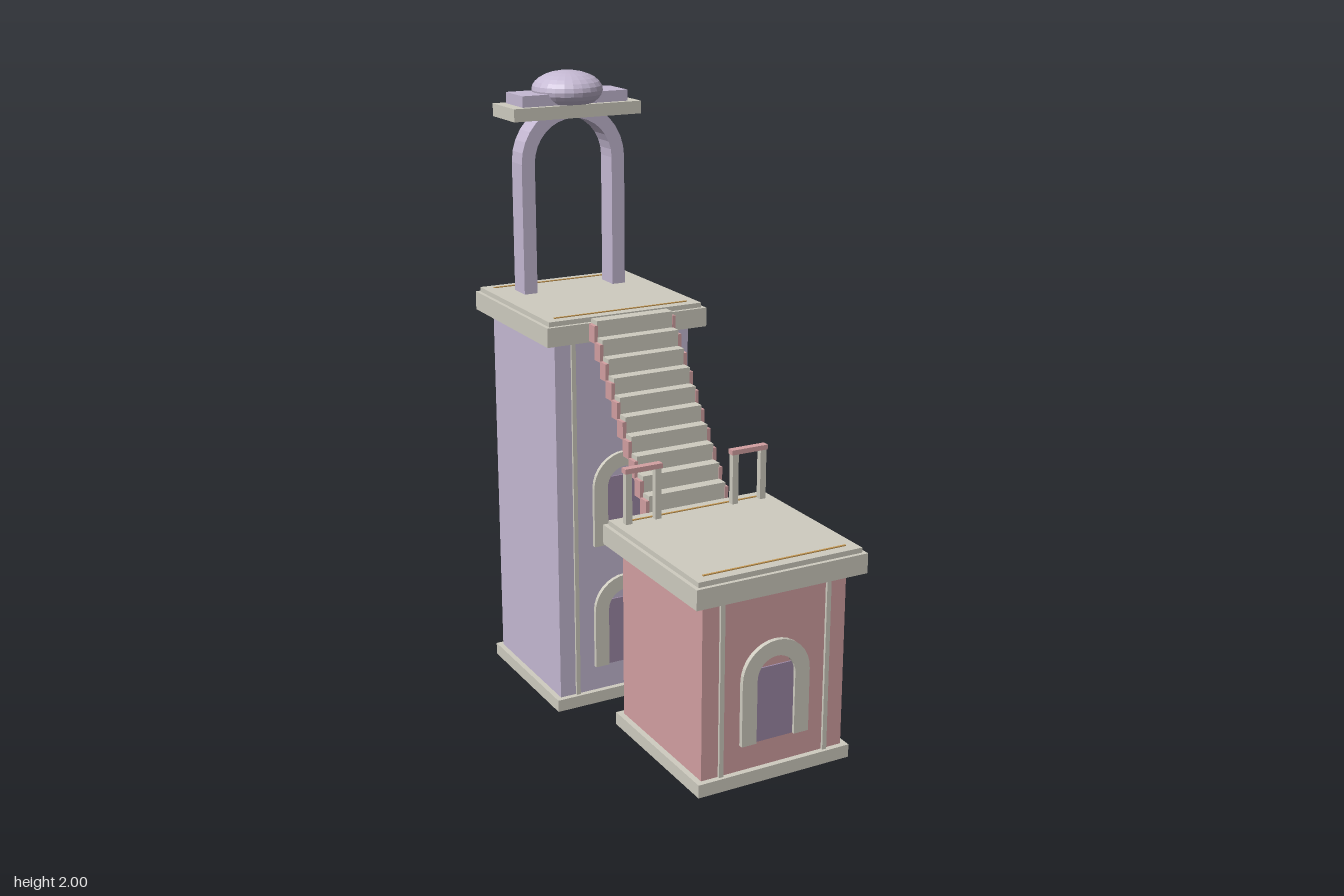
import * as THREE from 'three';

const mat = (name, color, flat = false) => {
  const m = new THREE.MeshStandardMaterial({ color, flatShading: flat });
  m.name = name;
  return m;
};

export function createModel() {
  const stone = mat('stone', 0xcfccc0);
  const pink = mat('pink plaster', 0xd3a0a2);
  const lilac = mat('lilac plaster', 0xc5b9d3);
  const lilacDome = mat('lilac plaster', 0xc5b9d3, true);
  const mauve = mat('mauve panel', 0x9d89a6);
  const blue = mat('blue window', 0x938bb2);
  const gold = mat('gold', 0xc79a55);

  const root = new THREE.Group();
  root.name = 'stairTower';
  const group = (name, parent = root) => {
    const g = new THREE.Group();
    g.name = name;
    parent.add(g);
    return g;
  };
  const add = (parent, name, geo, material) => {
    const m = new THREE.Mesh(geo, material);
    m.name = name;
    parent.add(m);
    return m;
  };
  // Box given by its limits on each axis
  const box = (parent, name, material, x0, x1, y0, y1, z0, z1) => {
    const m = add(parent, name, new THREE.BoxGeometry(x1 - x0, y1 - y0, z1 - z0), material);
    m.position.set((x0 + x1) / 2, (y0 + y1) / 2, (z0 + z1) / 2);
    return m;
  };
  // Upside-down U: straight legs and a half ring
  const arch = (parent, name, material, outer, inner, legs, y0, z0, depth, segs) => {
    const s = new THREE.Shape();
    s.moveTo(outer, 0);
    s.lineTo(outer, legs);
    s.absarc(0, legs, outer, 0, Math.PI, false);
    s.lineTo(-outer, 0);
    s.lineTo(-inner, 0);
    s.lineTo(-inner, legs);
    s.absarc(0, legs, inner, Math.PI, 0, true);
    s.lineTo(inner, 0);
    const geo = new THREE.ExtrudeGeometry(s, { depth, bevelEnabled: false, curveSegments: segs });
    const m = add(parent, name, geo, material);
    m.position.set(0, y0, z0);
    return m;
  };

  // A square block with plinth, cornice, corner strips, doors and side windows
  const building = (name, wall, zc, y0, wallTop, openings, windowMat) => {
    const g = group(name);
    const front = zc + 0.2325;
    box(g, 'plinth', stone, -0.25, 0.25, y0, y0 + 0.04, zc - 0.25, zc + 0.25);
    box(g, 'walls', wall, -0.2325, 0.2325, y0 + 0.04, wallTop, zc - 0.2325, front);
    box(g, 'cornice', stone, -0.275, 0.275, wallTop, wallTop + 0.06, zc - 0.275, zc + 0.275);
    box(g, 'roofSlab', stone, -0.263, 0.263, wallTop + 0.06, wallTop + 0.075, zc - 0.263, zc + 0.263);
    for (const s of [-1, 1]) {
      box(g, 'frontStrip', stone, s * 0.172 - 0.007, s * 0.172 + 0.007, y0 + 0.04, wallTop - 0.01, front, front + 0.008);
      box(g, 'roofLine', gold, -0.23, 0.23, wallTop + 0.075, wallTop + 0.078, zc + s * 0.228 - 0.003, zc + s * 0.228 + 0.003);
    }
    for (const y of openings) {
      box(g, 'doorPanel', mauve, -0.066, 0.066, y, y + 0.225, front, front + 0.005);
      arch(g, 'doorSurround', stone, 0.11, 0.062, 0.195, y, front, 0.014, 8);
      box(g, 'sideWindow', windowMat, 0.2325, 0.2375, y, y + 0.225, zc - 0.1, zc + 0.035);
    }
    return g;
  };
  building('frontHouse', pink, 0.455, 0.145, 0.725, [0.265], blue);
  const tower = building('rearTower', lilac, -0.455, 0, 1.23, [0.125, 0.545], mauve);

  // Staircase between the two roofs
  const stairs = group('staircase');
  const steps = 10, run = 0.0365, rise = 0.0505;
  for (let i = 0; i < steps; i++) {
    const z = 0.192 - i * run;
    const top = 0.8 + (i + 1) * rise;
    box(stairs, 'step', stone, -0.13, 0.13, top - rise, top, z - run - 0.004, z);
    for (const s of [-1, 1]) {
      box(stairs, 'stairCheek', pink, s * 0.134 - 0.006, s * 0.134 + 0.006, top - rise - 0.018, top - 0.014, z - run, z + 0.001);
    }
  }

  // Short railings at the foot of the stairs
  for (const s of [-1, 1]) {
    const rail = group(s > 0 ? 'leftRailing' : 'rightRailing');
    for (const x of [0.13, 0.226]) {
      box(rail, 'railPost', stone, s * x - 0.01, s * x + 0.01, 0.8, 0.958, 0.232, 0.251);
    }
    box(rail, 'railCap', pink, s * 0.178 - 0.061, s * 0.178 + 0.061, 0.955, 0.97, 0.23, 0.253);
  }

  // Open arch with crown and dome
  arch(tower, 'roofArch', lilac, 0.18, 0.135, 0.415, 1.305, -0.628, 0.076, 8);
  box(tower, 'crownPlate', stone, -0.22, 0.22, 1.86, 1.9, -0.675, -0.51);
  box(tower, 'crownBlock', lilac, -0.182, 0.182, 1.9, 1.935, -0.657, -0.53);
  const dome = add(tower, 'dome', new THREE.SphereGeometry(0.113, 24, 14), lilacDome);
  dome.scale.y = 0.53;
  dome.position.set(0, 1.94, -0.592);

  return root;
}
